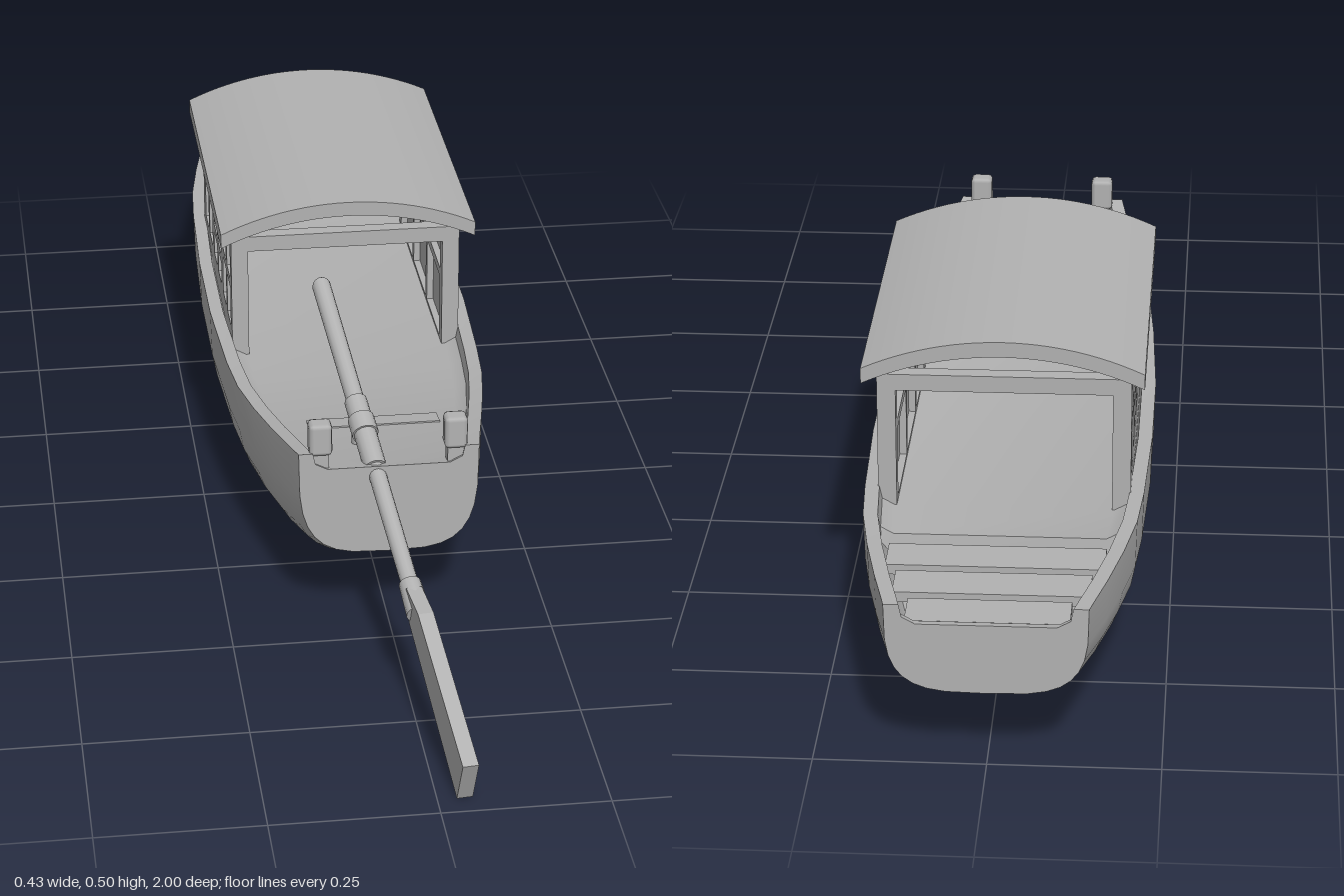
import * as THREE from 'three';
import { toCreasedNormals } from 'three/addons/utils/BufferGeometryUtils.js';
import { RoundedBoxGeometry } from 'three/addons/geometries/RoundedBoxGeometry.js';

const grey = new THREE.MeshStandardMaterial({ color: 0xb2b2b2 });
grey.name = 'plain grey';

function add(parent, name, geometry, x = 0, y = 0, z = 0) {
  const mesh = new THREE.Mesh(geometry, grey);
  mesh.name = name;
  mesh.position.set(x, y, z);
  parent.add(mesh);
  return mesh;
}

const box = (w, h, d) => new THREE.BoxGeometry(w, h, d);

// Outline given as (z, y) points, extruded towards -x from x = 0
function sidePlate(points, depth, holes = []) {
  const shape = new THREE.Shape(points.map(([z, y]) => new THREE.Vector2(z, y)));
  for (const hole of holes) shape.holes.push(new THREE.Path(hole.map(([z, y]) => new THREE.Vector2(z, y))));
  return new THREE.ExtrudeGeometry(shape, { depth, bevelEnabled: false }).rotateY(-Math.PI / 2);
}

const rect = (z0, z1, y0, y1) => [[z0, y0], [z1, y0], [z1, y1], [z0, y1]];

// Hull stations: z, half width, rail height, keel height, deck depth below the rail
const stations = [
  [0.445, 0.14, 0.3, 0.123, 0.028], [0.4, 0.148, 0.291, 0.1, 0.029], [0.3, 0.167, 0.274, 0.074, 0.03],
  [0.2, 0.185, 0.26, 0.06, 0.03], [0.1, 0.2, 0.249, 0.053, 0.03], [0, 0.208, 0.243, 0.047, 0.03],
  [-0.2, 0.217, 0.24, 0.041, 0.03], [-0.4, 0.217, 0.24, 0.043, 0.03], [-0.6, 0.21, 0.241, 0.052, 0.03],
  [-0.7, 0.203, 0.243, 0.061, 0.03], [-0.705, 0.202, 0.243, 0.0615, 0.065], [-0.8, 0.187, 0.245, 0.075, 0.065],
  [-0.9, 0.167, 0.248, 0.092, 0.065], [-0.985, 0.148, 0.252, 0.111, 0.06], [-0.988, 0.1475, 0.252, 0.112, 0.03],
  [-1, 0.145, 0.253, 0.115, 0.03],
];

// One closed cross-section: rounded outside, rail top, inner side and deck
function hullSection([, w, rail, keel, depth]) {
  const ring = [];
  const n = 8;
  for (let i = -n; i <= n; i++) {
    const t = (i / n) * Math.PI / 2;
    const u = Math.sign(t) * Math.pow(Math.abs(Math.sin(t)), 2 / 3.6);
    const v = 1 - Math.pow(Math.max(0, Math.cos(t)), 2 / 3.6);
    ring.push(new THREE.Vector2(u * w, keel + v * (rail - keel)));
  }
  const inner = [[w - 0.022, rail], [w - 0.026, rail - depth * 0.65], [w - 0.045, rail - depth]];
  for (const [x, y] of inner) ring.push(new THREE.Vector2(x, y));
  for (const [x, y] of inner.reverse()) ring.push(new THREE.Vector2(-x, y));
  return ring;
}

function hullGeometry() {
  const rings = stations.map(hullSection);
  const m = rings[0].length;
  const last = (rings.length - 1) * m;
  const positions = [];
  const index = [];
  rings.forEach((ring, i) => ring.forEach((p) => positions.push(p.x, p.y, stations[i][0])));
  for (let i = 0; i < rings.length - 1; i++) {
    for (let j = 0; j < m; j++) {
      const a = i * m + j, b = i * m + (j + 1) % m;
      index.push(a, a + m, b, b, a + m, b + m);
    }
  }
  // Flat boards closing both ends
  for (const [a, b, c] of THREE.ShapeUtils.triangulateShape(rings[0], [])) index.push(a, b, c);
  for (const [a, b, c] of THREE.ShapeUtils.triangulateShape(rings[rings.length - 1], [])) {
    index.push(last + a, last + c, last + b);
  }
  const geometry = new THREE.BufferGeometry();
  geometry.setAttribute('position', new THREE.Float32BufferAttribute(positions, 3));
  geometry.setIndex(index);
  return toCreasedNormals(geometry, 0.6);
}

function buildCabin() {
  const cabin = new THREE.Group();
  cabin.name = 'cabin';
  const z0 = -0.6, z1 = -0.09, top = 0.426, base = 0.2;

  // Window openings: two rows in the outer columns, three in the middle ones
  const windows = [];
  const two = [[0.256, 0.325], [0.341, 0.41]];
  const three = [[0.256, 0.296], [0.311, 0.351], [0.366, 0.41]];
  [-0.142, -0.216, -0.302, -0.378, -0.463, -0.537].forEach((z, i) => {
    for (const [a, b] of i === 2 || i === 3 ? three : two) windows.push(rect(z - 0.028, z + 0.028, a, b));
  });
  // Larger bays of the inner framing
  const bays = [];
  for (let i = 0; i < 3; i++) {
    const z = -0.575 + i * 0.158;
    for (const [a, b] of [[0.215, 0.325], [0.34, 0.4]]) bays.push(rect(z, z + 0.143, a, b));
  }
  const outline = rect(z0, z1, base, top);
  for (const side of [1, -1]) {
    const layer = (name, from, to, holes) =>
      add(cabin, name, sidePlate(outline, to - from, holes), side > 0 ? to : -from);
    layer('windowLattice', 0.179, 0.19, windows);
    layer('wallPanel', 0.173, 0.179, []);
    layer('innerWallFrame', 0.162, 0.173, bays);
  }
  for (const z of [z1 - 0.0125, z0 + 0.0125]) add(cabin, 'crossBeam', box(0.33, 0.026, 0.025), 0, 0.413, z);

  // Arched roof
  const r = 0.493, half = 0.44, up = Math.PI / 2;
  const arch = new THREE.Shape();
  arch.absarc(0, 0.004, r, up - half, up + half, false);
  arch.absarc(0, -0.02, r, up + half, up - half, true);
  const roof = new THREE.ExtrudeGeometry(arch, { depth: 0.585, bevelEnabled: false, curveSegments: 12 });
  add(cabin, 'roof', toCreasedNormals(roof, 0.5), 0, 0, -0.635);
  return cabin;
}

function buildOar() {
  const oar = new THREE.Group();
  oar.name = 'oar';
  oar.position.x = -0.066;
  oar.rotation.y = 0.11;

  // Round pieces lie along a sloping line in the local z-y plane
  const rod = (name, za, zb, ra, rb) => {
    const y = (z) => 0.43 - 0.395 * z;
    const geometry = new THREE.CylinderGeometry(rb, ra, Math.hypot(zb - za, y(zb) - y(za)), 14);
    const mesh = add(oar, name, geometry, 0, (y(za) + y(zb)) / 2, (za + zb) / 2);
    mesh.rotation.x = Math.PI / 2 + Math.atan(0.395);
  };
  rod('shaft', 0.065, 0.7, 0.015, 0.013);
  const knob = add(oar, 'handleEnd', new THREE.SphereGeometry(0.015, 14, 8), 0, 0.404, 0.066);
  knob.scale.z = 0.6;
  rod('sleeve', 0.3, 0.43, 0.018, 0.018);
  rod('collar', 0.335, 0.365, 0.021, 0.021);
  rod('bladeSocket', 0.645, 0.7, 0.017, 0.019);

  const blade = [[0.66, 0.155], [0.69, 0.132], [0.97, 0], [1, 0.072], [0.74, 0.177], [0.67, 0.182]];
  add(oar, 'blade', sidePlate(blade, 0.024), 0.012);
  return oar;
}

export function createModel() {
  const boat = new THREE.Group();
  boat.name = 'boat';
  add(boat, 'hull', hullGeometry());
  boat.add(buildCabin(), buildOar());

  // Slatted planks over the open well
  for (const [z, w] of [[-0.78, 0.32], [-0.865, 0.285], [-0.95, 0.235]]) {
    add(boat, 'wellSlat', box(w, 0.016, 0.068), 0, 0.212, z);
  }
  // Hatch set in the sloping deck
  add(boat, 'deckHatch', box(0.21, 0.008, 0.04), 0.005, 0.231, 0.22).rotation.x = -0.14;

  // Mooring posts on both corners
  for (const x of [-0.105, 0.105]) {
    add(boat, 'mooringPostBase', box(0.026, 0.045, 0.022), x, 0.283, 0.427);
    add(boat, 'mooringPost', new RoundedBoxGeometry(0.036, 0.053, 0.032, 1, 0.007), x, 0.319, 0.427);
  }
  // Support carrying the oar
  add(boat, 'oarSupport', new THREE.CylinderGeometry(0.01, 0.01, 0.06, 10), -0.032, 0.27, 0.315);
  return boat;
}
